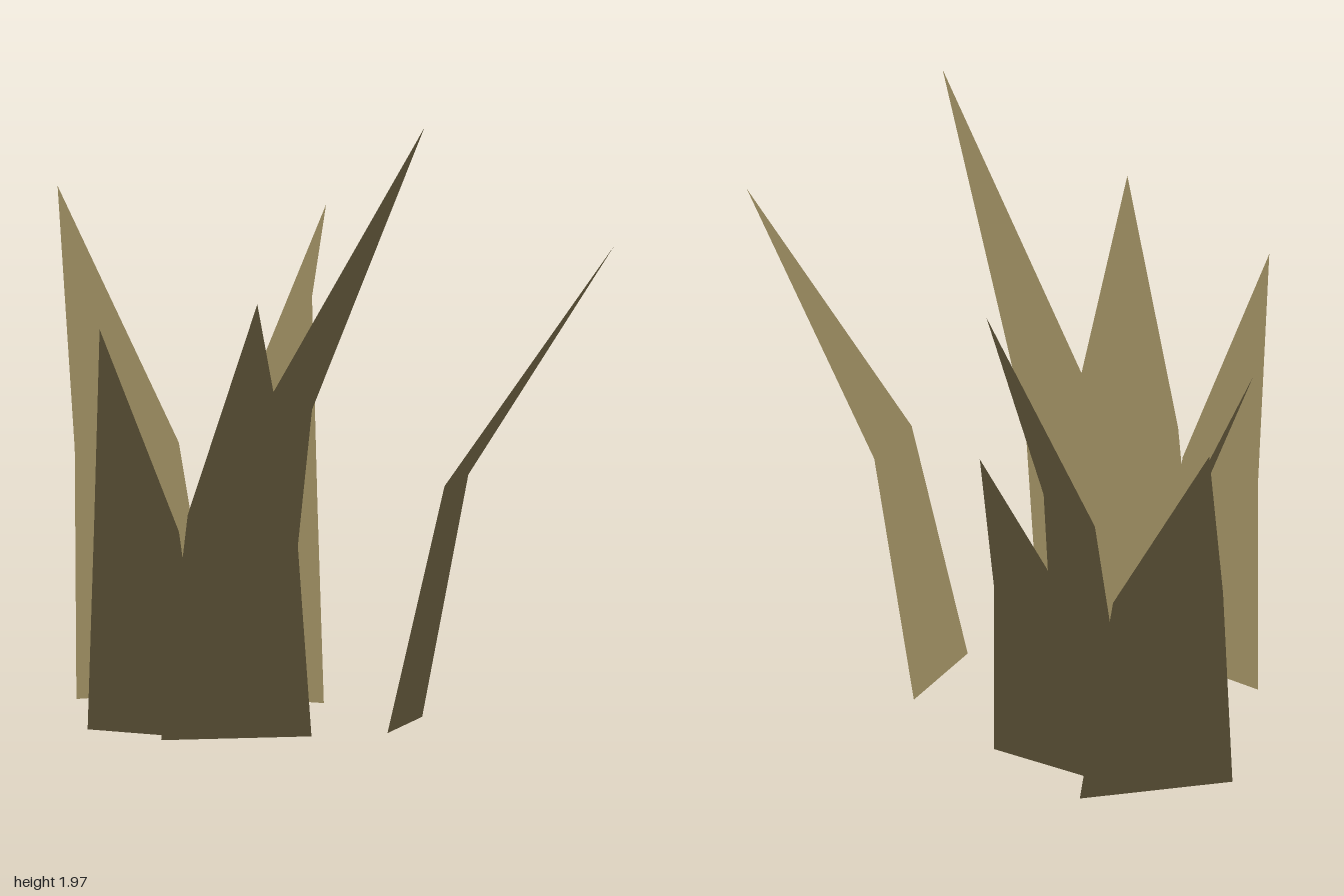
import * as THREE from 'three';

// Each blade: base left/right [x, z], fold left/right [x, z], fold height, tip [x, y, z]
const BLADES = [
  { name: 'backLeftBlade', base: [[-0.81, -0.22], [-0.40, -0.50]], fold: [[-0.85, -0.41], [-0.55, -0.60]], foldY: 0.77, tip: [-1.0, 1.53, -0.93] },
  { name: 'backBlade', base: [[-0.45, -0.37], [-0.025, -0.275]], fold: [[-0.36, -0.45], [-0.065, -0.38]], foldY: 0.63, tip: [-0.145, 1.265, -0.72] },
  { name: 'innerBlade', base: [[-0.42, -0.11], [-0.09, 0.10]], fold: [[-0.33, -0.18], [-0.10, -0.03]], foldY: 0.80, tip: [-0.035, 1.58, -0.37] },
  { name: 'tallBlade', base: [[-0.33, 0.275], [-0.13, -0.09]], fold: [[-0.13, 0.32], [0.0, 0.07]], foldY: 0.99, tip: [0.437, 1.965, 0.487] },
  { name: 'sideBlade', base: [[-0.405, -0.15], [-0.405, 0.26]], fold: [[-0.50, -0.10], [-0.50, 0.20]], foldY: 0.65, tip: [-0.775, 1.30, 0.06] },
  { name: 'outerBlade', base: [[0.287, 0.315], [0.333, -0.045]], fold: [[0.465, 0.285], [0.495, 0.03]], foldY: 0.79, tip: [1.0, 1.565, 0.225] },
  { name: 'frontLeftBlade', base: [[-0.66, 0.405], [-0.25, 0.535]], fold: [[-0.62, 0.51], [-0.33, 0.605]], foldY: 0.67, tip: [-0.55, 1.34, 0.797] },
  { name: 'frontBlade', base: [[-0.39, 0.59], [0.063, 0.425]], fold: [[-0.29, 0.67], [0.033, 0.545]], foldY: 0.735, tip: [-0.018, 1.455, 0.935] },
];

// Tapered, once-folded blade, shaded as if facing the sky
function bladeGeometry({ base, fold, foldY, tip }) {
  const points = [
    ...base.map(([x, z]) => [x, 0, z]),
    ...fold.map(([x, z]) => [x, foldY, z]),
    tip,
  ];
  const geometry = new THREE.BufferGeometry();
  geometry.setAttribute('position', new THREE.Float32BufferAttribute(points.flat(), 3));
  geometry.setAttribute('normal', new THREE.Float32BufferAttribute(points.flatMap(() => [0, 1, 0]), 3));
  geometry.setIndex([0, 1, 3, 0, 3, 2, 2, 3, 4]);
  return geometry;
}

export function createModel() {
  const group = new THREE.Group();
  group.name = 'grassTuft';
  const dryGrass = new THREE.MeshStandardMaterial({ color: 0x8a7c55, side: THREE.DoubleSide });
  dryGrass.name = 'dryGrass';

  for (const blade of BLADES) {
    const mesh = new THREE.Mesh(bladeGeometry(blade), dryGrass);
    mesh.name = blade.name;
    group.add(mesh);
  }
  return group;
}
